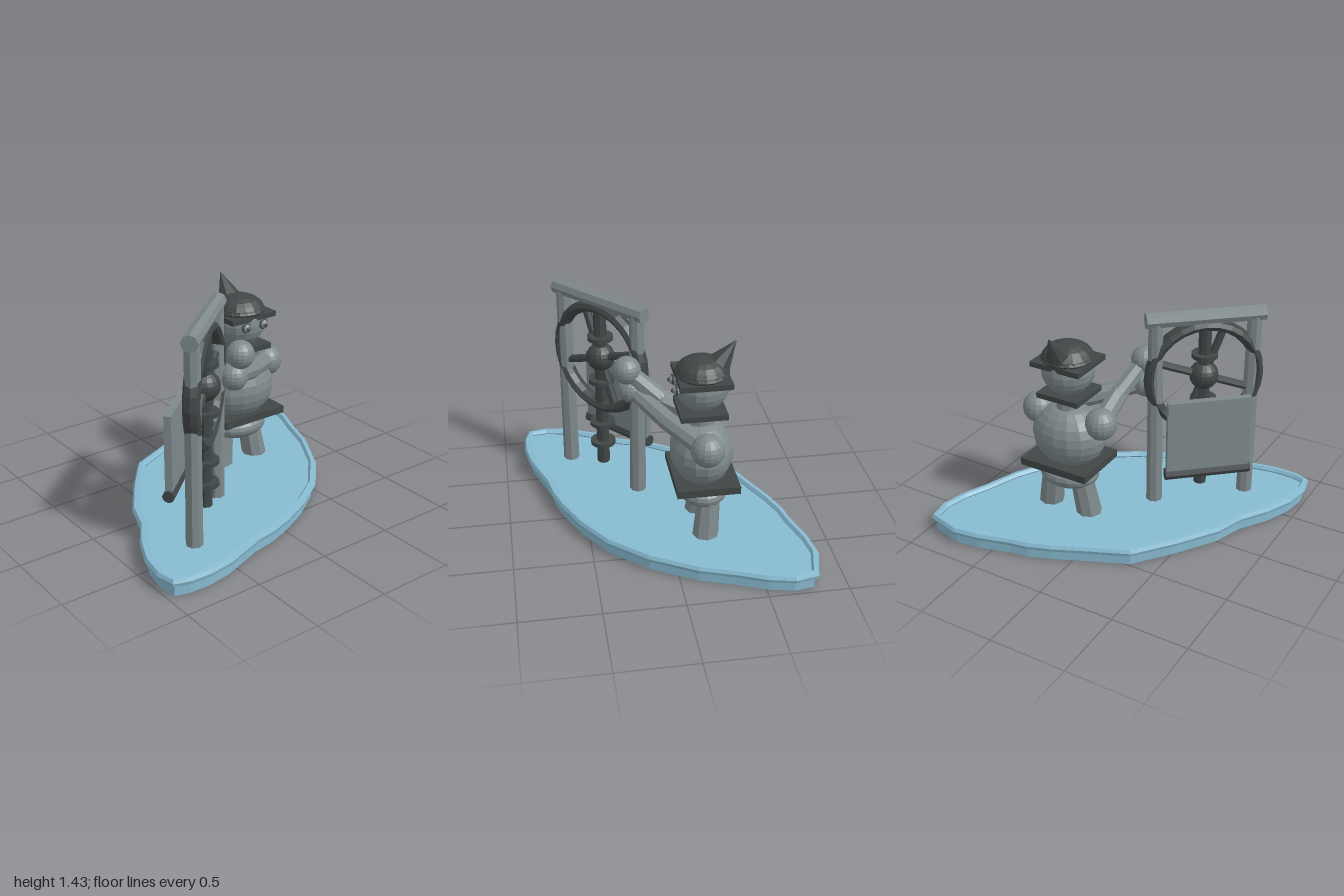
import * as THREE from 'three';

const mat = (name, color, extra = {}) => {
  const m = new THREE.MeshStandardMaterial({ color, flatShading: true, ...extra });
  m.name = name;
  return m;
};

export function createModel() {
  const blue = mat('paleBlue', 0x87bad0, { side: THREE.DoubleSide });
  const grey = mat('stoneGrey', 0x7e898c);
  const dark = mat('charcoal', 0x404646);
  const root = new THREE.Group();
  root.name = 'wheelAndOperator';

  const add = (parent, name, geo, material, x = 0, y = 0, z = 0) => {
    const m = new THREE.Mesh(geo, material);
    m.name = name;
    m.position.set(x, y, z);
    parent.add(m);
    return m;
  };
  const ball = (parent, name, material, r, x, y, z, sx = 1, sy = 1, sz = 1) => {
    const m = add(parent, name, new THREE.SphereGeometry(r, 16, 12), material, x, y, z);
    m.scale.set(sx, sy, sz);
    return m;
  };
  // Cylinder running from point a to point b
  const rod = (parent, name, material, a, b, ra, rb = ra, sides = 8) => {
    const A = new THREE.Vector3(...a), B = new THREE.Vector3(...b);
    const d = B.clone().sub(A);
    const m = add(parent, name, new THREE.CylinderGeometry(rb, ra, d.length(), sides), material);
    m.position.copy(A).add(B).multiplyScalar(0.5);
    m.quaternion.setFromUnitVectors(new THREE.Vector3(0, 1, 0), d.normalize());
    return m;
  };

  // ---- Leaf-shaped base: outline as x, z pairs ----
  const flat = [
    0.97, -0.81, 0.75, -0.87, 0.59, -0.85, 0.375, -0.79, 0.26, -0.77, 0.11, -0.715, -0.095, -0.62,
    -0.345, -0.51, -0.535, -0.27, -0.71, -0.01, -0.775, 0.18, -0.89, 0.355, -0.97, 0.53, -1, 0.7,
    -0.975, 0.825, -0.87, 0.86, -0.73, 0.865, -0.57, 0.84, -0.29, 0.74, -0.15, 0.715, 0, 0.665,
    0.215, 0.565, 0.44, 0.415, 0.645, 0.185, 0.81, -0.105, 0.885, -0.32, 0.96, -0.5, 0.997, -0.665];
  const n = flat.length / 2;
  const pt = i => new THREE.Vector2(flat[2 * ((i + n) % n)], flat[2 * ((i + n) % n) + 1]);
  // Outline moved along its outward normal
  const offset = (i, d) => {
    const p = pt(i);
    const t0 = p.clone().sub(pt(i - 1)).normalize(), t1 = pt(i + 1).sub(p).normalize();
    const t = t0.add(t1).normalize();
    return new THREE.Vector2(p.x - t.y * d, p.y + t.x * d);
  };
  // Skirt and rounded rim: section as outward offset, height
  const section = [[-0.028, 0], [-0.028, 0.07], [-0.006, 0.073], [0, 0.095], [-0.012, 0.117],
    [-0.038, 0.12], [-0.052, 0.1], [-0.04, 0.075], [-0.036, 0]];
  const s = section.length, pos = [], index = [];
  for (let i = 0; i < n; i++) {
    for (let j = 0; j < s; j++) {
      const p = offset(i, section[j][0]);
      pos.push(p.x, section[j][1], p.y);
      const i2 = (i + 1) % n, j2 = (j + 1) % s;
      const a = i * s + j, b = i2 * s + j, c = i2 * s + j2, d = i * s + j2;
      index.push(a, b, c, a, c, d);
    }
  }
  const rim = new THREE.BufferGeometry();
  rim.setAttribute('position', new THREE.Float32BufferAttribute(pos, 3));
  rim.setIndex(index);
  rim.computeVertexNormals();
  add(root, 'baseRim', rim, blue);
  const floorShape = new THREE.Shape(Array.from({ length: n }, (_, i) => {
    const p = offset(i, -0.045);
    return new THREE.Vector2(p.x, -p.y);
  }));
  add(root, 'baseFloor', new THREE.ShapeGeometry(floorShape).rotateX(-Math.PI / 2), blue, 0, 0.09, 0);

  // ---- Wheel frame, turned diagonally on the base ----
  const frame = new THREE.Group();
  frame.name = 'wheelFrame';
  frame.position.set(-0.39, 0, 0.335);
  frame.rotation.y = 0.72;
  root.add(frame);
  rod(frame, 'topBeam', grey, [-0.38, 1.38, 0], [0.38, 1.38, 0], 0.052);
  for (const sx of [-1, 1]) rod(frame, 'post', grey, [sx * 0.31, 0.02, 0], [sx * 0.315, 1.36, 0], 0.054, 0.048);

  // Wheel with hub, crossed spokes and upright shaft
  const wheel = new THREE.Group();
  wheel.name = 'wheel';
  wheel.position.y = 0.975;
  frame.add(wheel);
  add(wheel, 'wheelRing', new THREE.TorusGeometry(0.352, 0.038, 8, 28), dark).scale.z = 1.4;
  ball(wheel, 'hub', dark, 0.094, 0, 0.005, 0);
  for (let k = 0; k < 4; k++) {
    const a = 0.35 + k * Math.PI / 2;
    rod(wheel, 'spoke', dark, [0, 0, 0], [0.34 * Math.cos(a), 0.34 * Math.sin(a), 0], 0.027);
  }
  rod(frame, 'shaft', dark, [0, 0.185, 0], [0, 1.34, 0], 0.042);
  for (const y of [0.34, 0.49, 0.81, 1.12])
    add(frame, 'shaftCollar', new THREE.CylinderGeometry(0.085, 0.085, 0.027, 12), dark, 0, y, 0);

  // Hanging panel behind the wheel
  add(frame, 'panel', new THREE.BoxGeometry(0.54, 0.515, 0.045), grey, 0, 0.627, -0.162);
  rod(frame, 'panelBar', dark, [-0.28, 0.368, -0.162], [0.28, 0.368, -0.162], 0.039);

  // ---- Operator ----
  const man = new THREE.Group();
  man.name = 'operator';
  man.position.set(0.28, 0, -0.21);
  root.add(man);
  ball(man, 'body', grey, 1, 0, 0.63, 0, 0.25, 0.215, 0.197);
  ball(man, 'hips', grey, 1, 0, 0.355, -0.01, 0.205, 0.093, 0.163);
  add(man, 'belt', new THREE.BoxGeometry(0.48, 0.05, 0.395), dark, 0, 0.455, -0.01);
  add(man, 'neck', new THREE.CylinderGeometry(0.07, 0.085, 0.2, 10), grey, 0, 0.86, 0);
  add(man, 'collar', new THREE.BoxGeometry(0.3, 0.035, 0.29), dark, 0, 0.925, 0.01);
  ball(man, 'head', grey, 0.17, 0, 1.09, 0.005);

  // Cap with brim, band and backward-leaning point
  add(man, 'capBrim', new THREE.BoxGeometry(0.35, 0.035, 0.32), dark, 0, 1.143, 0.005);
  add(man, 'capBand', new THREE.TorusGeometry(0.15, 0.02, 6, 20).rotateX(Math.PI / 2), dark, 0, 1.172, 0.005);
  const dome = new THREE.SphereGeometry(0.166, 16, 6, 0, Math.PI * 2, 0, Math.PI / 2);
  add(man, 'capDome', dome, dark, 0, 1.165, 0.005).scale.y = 0.63;
  rod(man, 'capPoint', dark, [0, 1.21, -0.095], [0, 1.365, -0.2], 0.082, 0.001, 8);

  // Eyes, legs, feet and shoulders in mirrored pairs
  for (const sx of [-1, 1]) {
    ball(man, 'eye', grey, 0.03, sx * 0.07, 1.095, 0.168);
    add(man, 'eyeRing', new THREE.TorusGeometry(0.028, 0.007, 6, 14), dark, sx * 0.07, 1.095, 0.172);
    ball(man, 'pupil', dark, 0.014, sx * 0.07, 1.095, 0.191);
    rod(man, 'leg', grey, [sx * 0.148, 0.07, -0.008], [sx * 0.105, 0.36, -0.035], 0.084, 0.072, 8);
    add(man, 'foot', new THREE.BoxGeometry(0.16, 0.075, 0.25), dark, sx * 0.16, 0.045, 0.09);
    ball(man, 'shoulder', grey, 0.104, sx * 0.232, 0.757, 0.005);
  }

  // Arms reaching to the wheel: shoulder, elbow, hand
  const arms = {
    left: [[0.51, 0.757, -0.205], [0.22, 0.82, 0], [-0.06, 0.905, 0.18]],
    right: [[0.05, 0.757, -0.205], [0.04, 0.88, 0.01], [-0.033, 1.052, 0.21]],
  };
  for (const [side, [a, b, c]] of Object.entries(arms)) {
    rod(root, side + 'UpperArm', grey, a, b, 0.066, 0.06);
    ball(root, side + 'Elbow', grey, 0.058, ...b);
    rod(root, side + 'Forearm', grey, b, c, 0.06, 0.052);
    ball(root, side + 'Hand', grey, 0.09, ...c);
  }
  return root;
}
